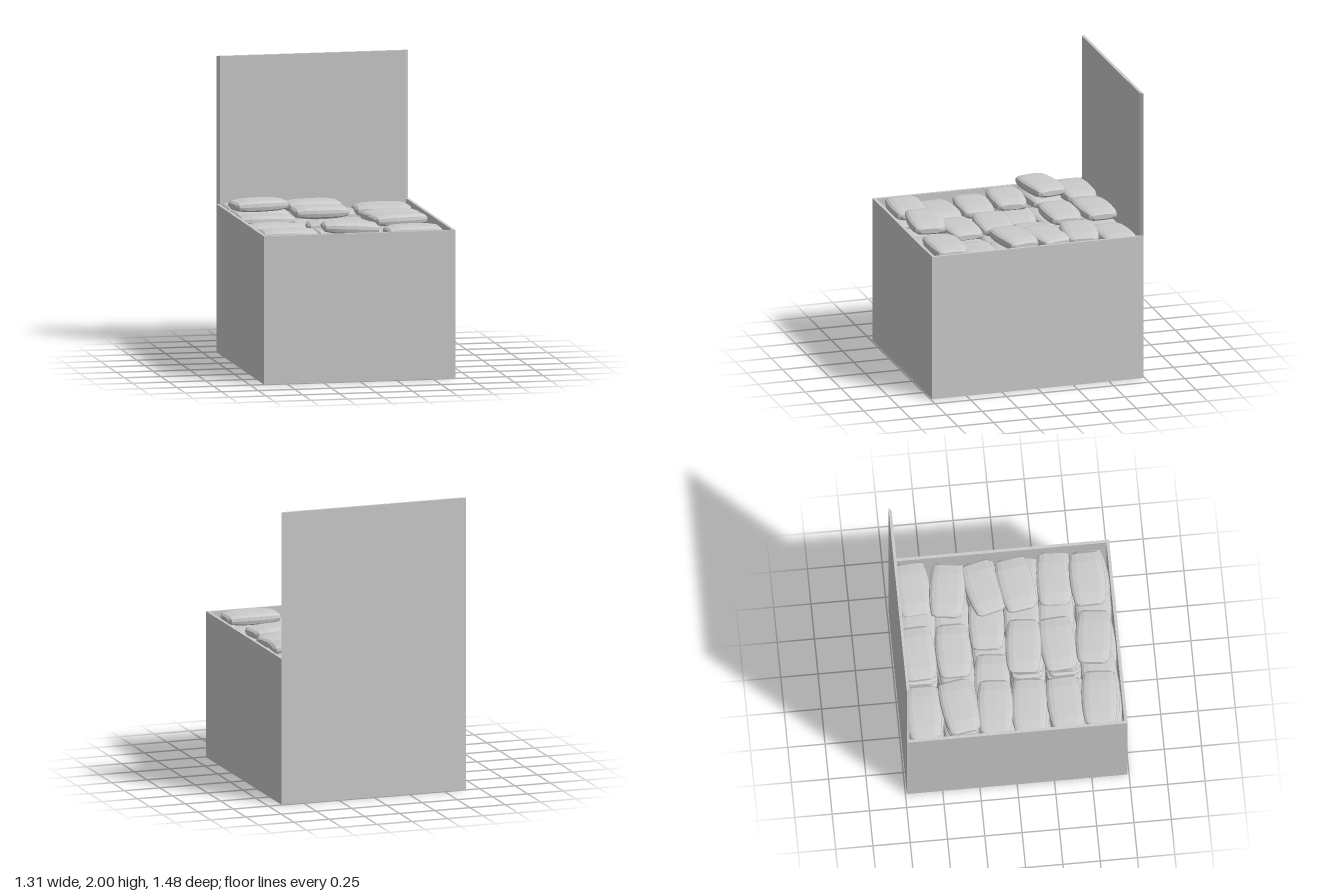
import * as THREE from 'three';

const W = 1.31, D = 1.48, H = 1, T = 0.02;
const grey = new THREE.MeshStandardMaterial({ color: 0xcccccc });
const bagGrey = new THREE.MeshStandardMaterial({ color: 0xcccccc, flatShading: true });

// Filled pouch: a tube along x, swollen in the middle with chamfered flat ends
function makeBagGeometry() {
  const stations = [ // x, half depth, half height
    [-0.188, 0.072, 0.016], [-0.172, 0.101, 0.029], [-0.11, 0.114, 0.039], [-0.04, 0.12, 0.041],
    [0.04, 0.12, 0.041], [0.11, 0.114, 0.039], [0.172, 0.101, 0.029], [0.188, 0.072, 0.016],
  ];
  const n = stations.length - 1;
  const geo = new THREE.CylinderGeometry(1, 1, n, 16, n);
  const p = geo.attributes.position;
  const squash = (v, e) => Math.sign(v) * Math.pow(Math.abs(v), e);
  for (let i = 0; i < p.count; i++) {
    const [x, d, h] = stations[Math.round(p.getY(i) + n / 2)];
    const y = squash(p.getX(i), 0.6) * h, z = squash(p.getZ(i), 0.55) * d;
    p.setXYZ(i, -x, y, z); // mirrored axis keeps the faces outward
  }
  // undo the handedness change of the axis swap when needed
  geo.computeBoundingBox();
  const idx = geo.index, a = new THREE.Vector3(), b = new THREE.Vector3(), c = new THREE.Vector3();
  let volume = 0;
  for (let i = 0; i < idx.count; i += 3) {
    a.fromBufferAttribute(p, idx.getX(i));
    b.fromBufferAttribute(p, idx.getX(i + 1));
    c.fromBufferAttribute(p, idx.getX(i + 2));
    volume += a.dot(b.cross(c));
  }
  if (volume < 0) {
    for (let i = 0; i < idx.count; i += 3) {
      const t = idx.getX(i);
      idx.setX(i, idx.getX(i + 1));
      idx.setX(i + 1, t);
    }
  }
  geo.computeVertexNormals();
  return geo;
}

function seeded(seed) {
  return () => (seed = (seed * 16807) % 2147483647) / 2147483647;
}

export function createModel() {
  const model = new THREE.Group();
  model.name = 'openBoxOfBags';

  const add = (name, geo, x, y, z, mat = grey, parent = model) => {
    const m = new THREE.Mesh(geo, mat);
    m.name = name;
    m.position.set(x, y, z);
    parent.add(m);
    return m;
  };

  // Box: floor and four walls
  add('floor', new THREE.BoxGeometry(W, T, D), 0, T / 2, 0);
  for (const s of [-1, 1]) {
    add(s > 0 ? 'leftWall' : 'rightWall', new THREE.BoxGeometry(T, H - T, D), s * (W - T) / 2, (H + T) / 2, 0);
    add(s > 0 ? 'frontWall' : 'backWall', new THREE.BoxGeometry(W - 2 * T, H - T, T), 0, (H + T) / 2, s * (D - T) / 2);
  }

  // Raised lid panel with mitred sides
  const trapezoid = new THREE.Shape([
    new THREE.Vector2(-W / 2, D / 2), new THREE.Vector2(-W / 2 + T, D / 2 - T),
    new THREE.Vector2(W / 2 - T, D / 2 - T), new THREE.Vector2(W / 2, D / 2),
  ]);
  const lid = new THREE.ExtrudeGeometry(trapezoid, { depth: 1, bevelEnabled: false });
  lid.rotateX(-Math.PI / 2);
  add('lid', lid, 0, H, 0);

  const bags = new THREE.Group();
  bags.name = 'bags';
  model.add(bags);
  const bagGeo = makeBagGeometry();
  const addBag = (x, y, z, yaw, roll = 0, pitch = 0) => {
    const m = add('bag', bagGeo, x, y, z, bagGrey, bags);
    m.rotation.set(pitch, yaw * Math.PI / 180, roll, 'YXZ');
  };

  // Top layer: x, y, z, yaw in degrees
  const top = [
    [-0.45, 0.985, -0.61, 0], [-0.03, 0.99, -0.61, 3], [0.44, 0.955, -0.6, 4],
    [-0.45, 1.044, -0.37, 9], [-0.03, 0.985, -0.37, 0], [0.4, 0.982, -0.37, -7],
    [-0.45, 0.975, -0.13, -4], [0.17, 0.92, -0.13, -3], [0.4, 0.98, -0.13, 14],
    [-0.45, 0.945, 0.1, -4], [-0.03, 0.955, 0.1, -5], [0.4, 0.99, 0.09, 9],
    [-0.45, 0.93, 0.34, 3], [-0.03, 0.94, 0.33, 4], [0.44, 0.92, 0.35, -3],
    [-0.45, 0.98, 0.57, -3], [-0.03, 1.018, 0.57, -6, -0.04], [0.4, 0.98, 0.57, 1],
  ];
  top.forEach((b) => addBag(...b));

  // Second layer showing between the top bags: x, y, z, yaw
  const second = [
    [-0.43, 0.9, -0.59, -4], [0.18, 0.92, -0.59, -5], [0.43, 0.87, -0.59, 3],
    [-0.44, 0.975, -0.36, 2], [-0.2, 0.89, -0.35, 8], [0.2, 0.89, -0.36, -5], [0.43, 0.91, -0.36, -5],
    [-0.24, 0.91, -0.13, -4], [0.43, 0.89, -0.13, 5],
    [-0.44, 0.865, 0.12, -6], [0.2, 0.88, 0.11, -3], [0.43, 0.9, 0.13, -6],
    [-0.43, 0.85, 0.33, 8], [0.2, 0.88, 0.34, -3],
    [-0.43, 0.9, 0.59, -6], [-0.26, 0.86, 0.59, 2], [0.18, 0.9, 0.59, -5], [0.44, 0.9, 0.59, 4],
  ];
  second.forEach((b) => addBag(...b));

  // Lower layers filling the box
  const rnd = seeded(11);
  for (let y = 0.07; y < 0.84; y += 0.083) {
    for (let row = 0; row < 6; row++) {
      for (let col = -1; col <= 1; col++) {
        addBag(col * 0.42 + (rnd() - 0.5) * 0.03, y, -0.6 + row * 0.24, (rnd() - 0.5) * 8);
      }
    }
  }
  return model;
}
